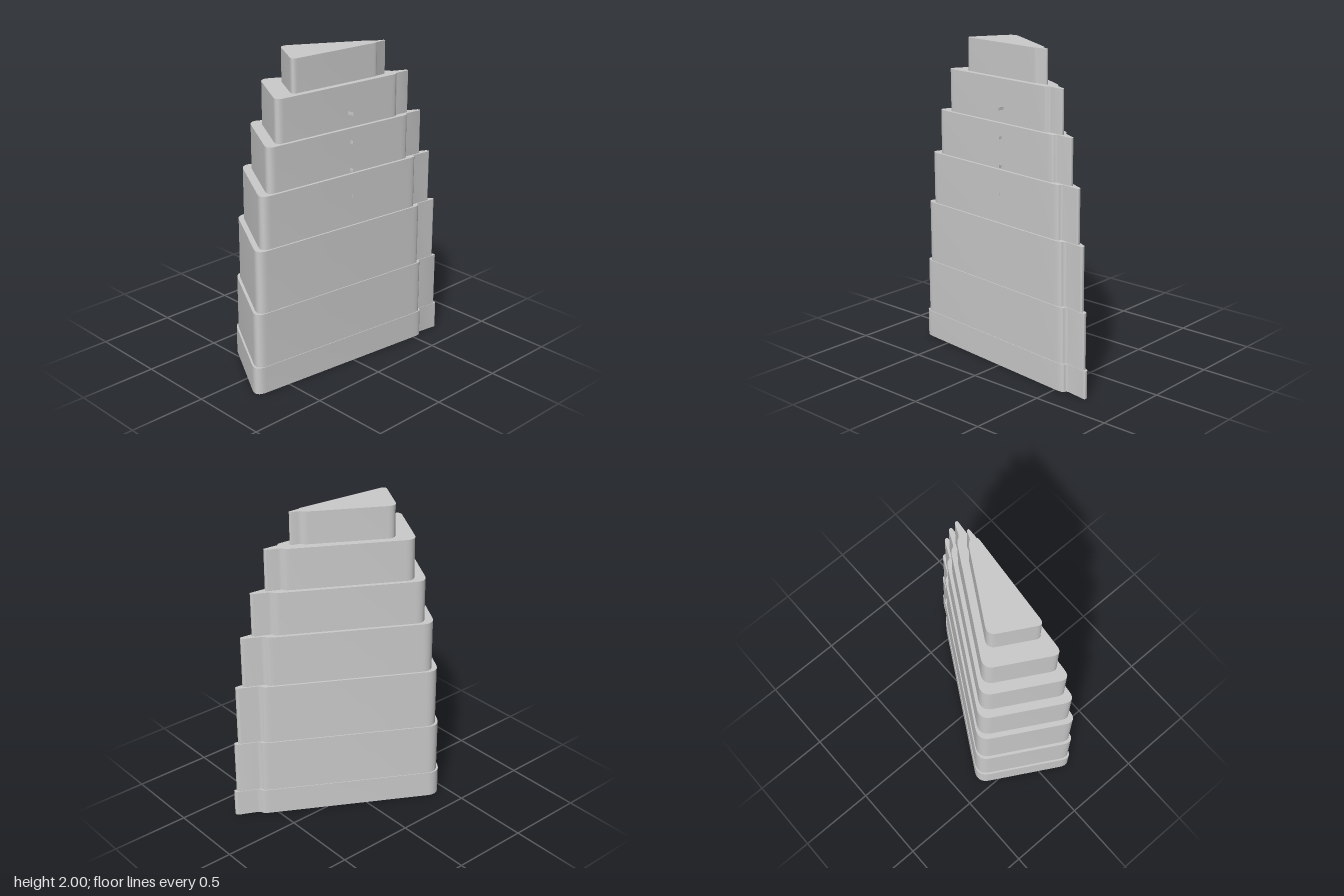
import * as THREE from 'three';
import { toCreasedNormals } from 'three/addons/utils/BufferGeometryUtils.js';

// Plan corners [x, z, rounding] of the widest and the narrowest tier
const WIDE = [
  [-0.371, 0.426, 0.085], [0.203, 0.751, 0.085], // left and front corners
  [0.342, -0.56, 0.06], [0.308, -0.57, 0.02],    // shoulder on the +x side
  [0.331, -0.722, 0.014], [0.303, -0.722, 0.014], // tip of the rear fin
  [0.235, -0.585, 0.02], [0.205, -0.582, 0.045], // shoulder on the -x side
];
const NARROW = [
  [-0.13, 0.227, 0.055], [0.148, 0.384, 0.042],
  [0.212, -0.235, 0.02], [0.206, -0.245, 0.005],
  [0.209, -0.317, 0.006], [0.194, -0.317, 0.006],
  [0.173, -0.262, 0.015], [0.147, -0.246, 0.02],
];

// Tiers: [base, top, blend from wide to narrow]
const TIERS = [
  [0, 0.175, 0], [0.175, 0.525, 0.04], [0.525, 0.92, 0.1], [0.92, 1.25, 0.21],
  [1.25, 1.53, 0.385], [1.53, 1.795, 0.61], [1.795, 2, 1],
];

// Closed outline with each corner rounded by a curve
function tierShape(t) {
  const pts = WIDE.map((w, i) => w.map((v, k) => THREE.MathUtils.lerp(v, NARROW[i][k], t)));
  const corners = pts.map(([x, z]) => new THREE.Vector2(x, -z));
  const shape = new THREE.Shape();
  const n = corners.length;
  corners.forEach((c, i) => {
    const toward = (p) => {
      const reach = Math.min(pts[i][2], c.distanceTo(p) * 0.45);
      return p.clone().sub(c).setLength(reach).add(c);
    };
    const a = toward(corners[(i + n - 1) % n]);
    const b = toward(corners[(i + 1) % n]);
    if (i === 0) shape.moveTo(a.x, a.y);
    else shape.lineTo(a.x, a.y);
    shape.quadraticCurveTo(c.x, c.y, b.x, b.y);
  });
  shape.closePath();
  return shape;
}

export function createModel() {
  const group = new THREE.Group();
  group.name = 'steppedTower';
  const material = new THREE.MeshStandardMaterial({ color: 0xcccccc });

  // Stacked tiers
  TIERS.forEach(([base, top, t], i) => {
    const geometry = new THREE.ExtrudeGeometry(tierShape(t), {
      depth: top - base, bevelEnabled: false, curveSegments: 8,
    });
    geometry.rotateX(-Math.PI / 2);
    const tier = new THREE.Mesh(toCreasedNormals(geometry, 0.5), material);
    tier.name = `tier${i + 1}`;
    tier.position.y = base;
    group.add(tier);
  });

  // Small pegs poking out of the +x wall
  [1.62, 1.445, 1.27, 1.1].forEach((y, i) => {
    const peg = new THREE.Mesh(new THREE.BoxGeometry(0.07, 0.018, 0.005), material);
    peg.name = `wallPeg${i + 1}`;
    peg.position.set(0.233, y, 0.005);
    group.add(peg);
  });
  return group;
}
